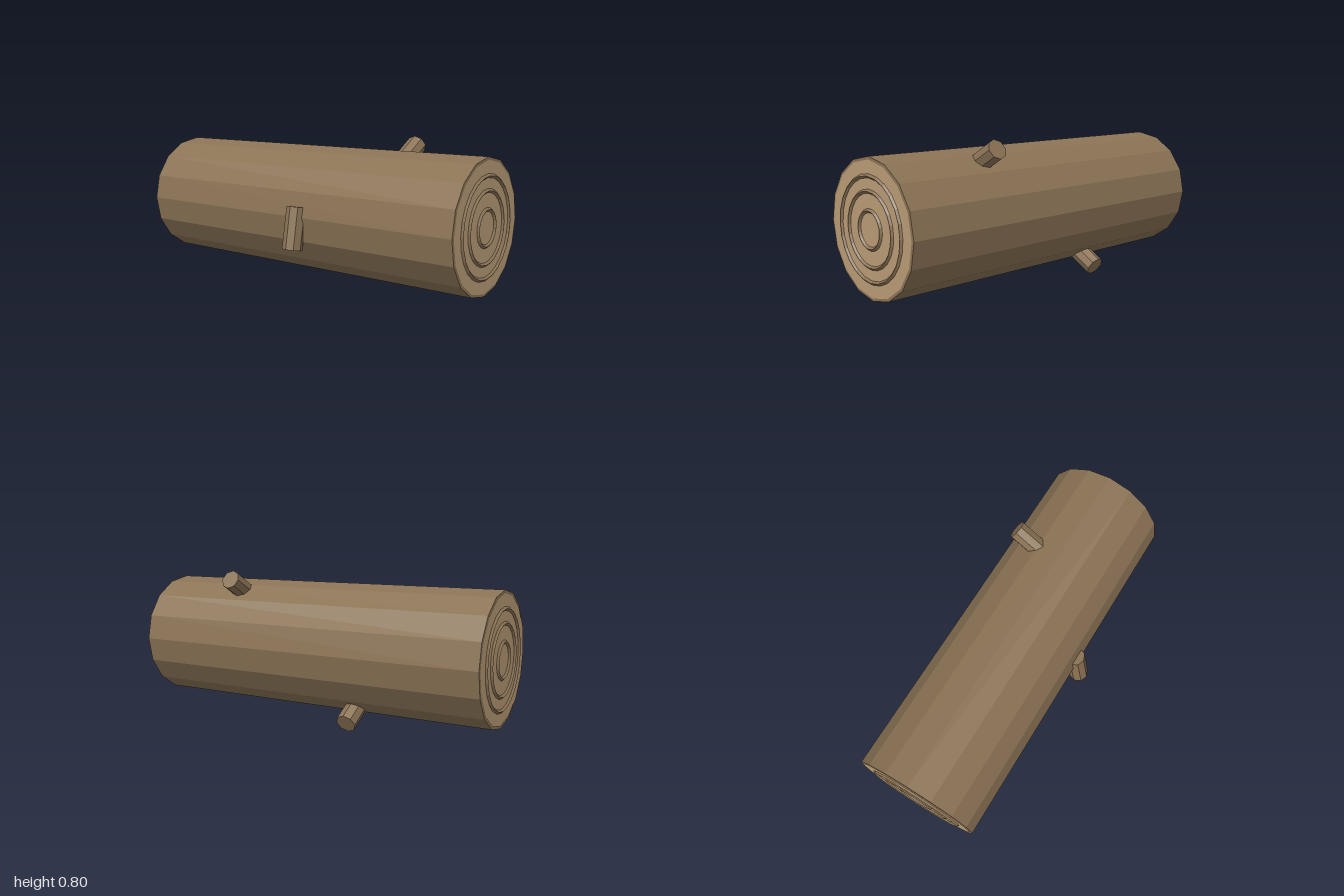
import * as THREE from 'three';

const material = (color) => new THREE.MeshStandardMaterial({ color, flatShading: true });

export function createModel() {
  const log = new THREE.Group();
  log.name = 'log';
  const bark = material(0x8b7355);
  const cutWood = material(0xb89b76);

  const add = (name, geometry, mat, x, y, z) => {
    const mesh = new THREE.Mesh(geometry, mat);
    mesh.name = name;
    mesh.position.set(x, y, z);
    log.add(mesh);
    return mesh;
  };

  const cy = 0.4, cz = -0.035, halfLength = 0.988;

  // Sixteen-sided trunk lying along x
  const trunk = new THREE.CylinderGeometry(0.34, 0.34, halfLength * 2, 16).rotateZ(Math.PI / 2);
  add('trunk', trunk, bark, 0, cy, cz);

  // Pale cut faces with raised growth rings on both ends
  for (const side of [1, -1]) {
    const face = new THREE.CircleGeometry(0.326, 16).rotateY(side * Math.PI / 2);
    add('cutFace', face, cutWood, side * (halfLength + 0.002), cy, cz);
    for (const radius of [0.09, 0.18, 0.251]) {
      const ring = new THREE.TorusGeometry(radius, 0.012, 4, 24).rotateY(Math.PI / 2);
      add('growthRing', ring, bark, side * halfLength, cy, cz);
    }
  }

  // Branch stubs: x, y, z of the centre and tilt about x in degrees
  const stub = new THREE.CylinderGeometry(0.053, 0.053, 0.223, 8);
  for (const [x, y, z, tilt] of [
    [0.445, 0.697, -0.205, -60],
    [0.087, 0.341, 0.304, -10],
    [-0.272, 0.105, -0.205, -120],
  ]) {
    add('branchStub', stub, bark, x, y, z).rotation.x = THREE.MathUtils.degToRad(tilt);
  }

  return log;
}
